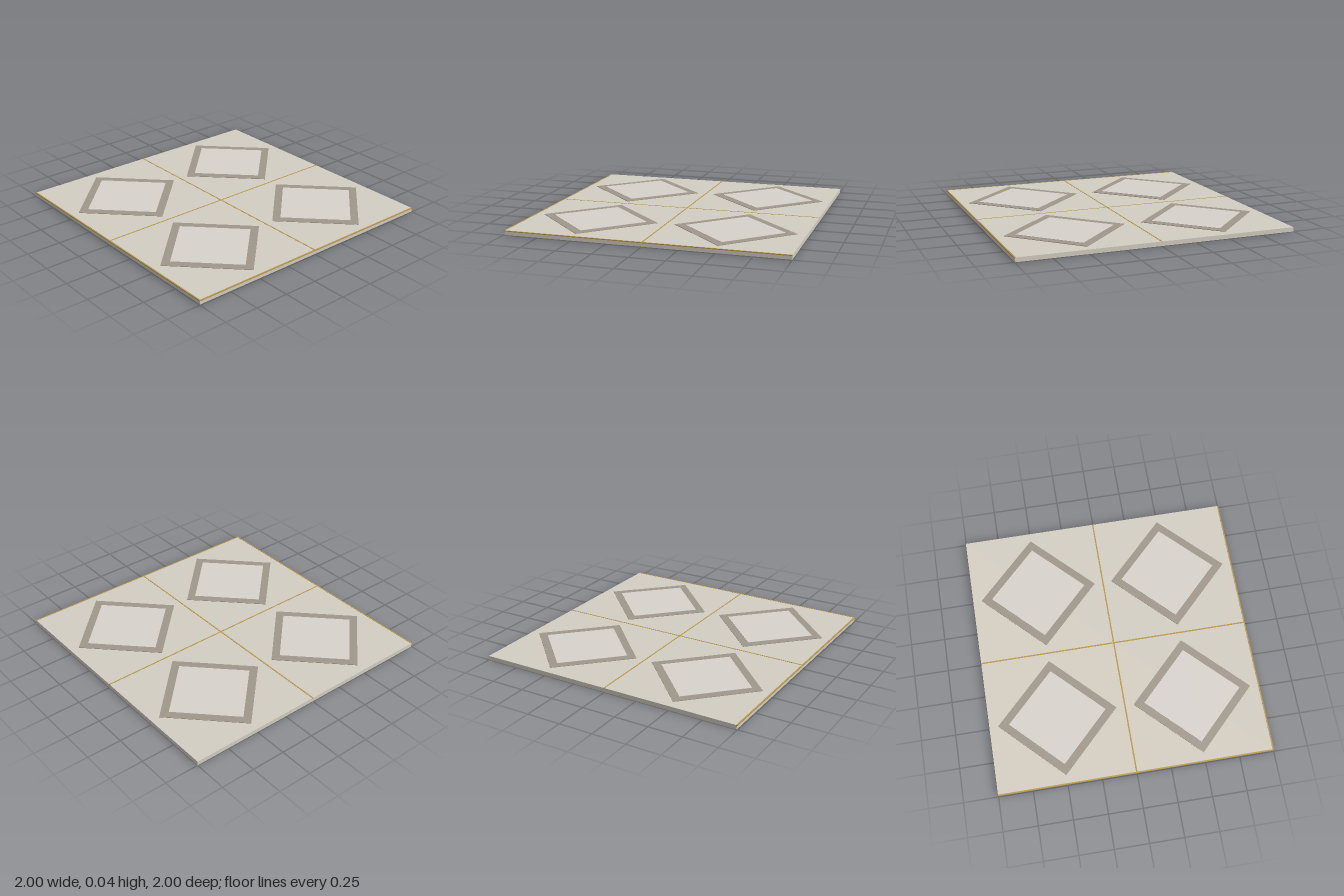
import * as THREE from 'three';

const SLAB_TOP = 0.031;
const OVERHANG = 0.005; // half a brass strip sticks out on the left and front edges

const stone = new THREE.MeshStandardMaterial({ color: 0xd4cec2 });
const border = new THREE.MeshStandardMaterial({ color: 0xa0978a });
const marble = new THREE.MeshStandardMaterial({ color: 0xd8d2cc });
const brass = new THREE.MeshStandardMaterial({ color: 0xb8964a });

function box(name, material, w, h, d, x, y, z) {
  const mesh = new THREE.Mesh(new THREE.BoxGeometry(w, h, d), material);
  mesh.name = name;
  mesh.position.set(x, y, z);
  return mesh;
}

function diamondPoints(r) {
  return [[r, 0], [0, r], [-r, 0], [0, -r]].map(([x, y]) => new THREE.Vector2(x, y));
}

// Flat diamond lying on the slab; an inner radius cuts a hole
function diamond(name, material, radius, hole, top) {
  const shape = new THREE.Shape(diamondPoints(radius));
  if (hole) shape.holes.push(new THREE.Path(diamondPoints(hole).reverse()));
  const geometry = new THREE.ExtrudeGeometry(shape, { depth: top - SLAB_TOP + 0.002, bevelEnabled: false });
  geometry.rotateX(-Math.PI / 2);
  const mesh = new THREE.Mesh(geometry, material);
  mesh.name = name;
  mesh.position.y = SLAB_TOP - 0.002;
  return mesh;
}

export function createModel() {
  const model = new THREE.Group();
  model.name = 'inlaidFloorPanel';

  // Slab, shifted slightly so the overhanging strips complete the square
  const size = 2 - OVERHANG;
  const cx = OVERHANG / 2;
  const cz = -OVERHANG / 2;
  model.add(box('slab', stone, size, SLAB_TOP, size, cx, SLAB_TOP / 2, cz));

  // Diamond inlay in each quarter: dark border around a pale centre
  for (const sx of [-1, 1]) {
    for (const sz of [-1, 1]) {
      const inlay = new THREE.Group();
      inlay.name = 'diamondInlay';
      inlay.add(diamond('inlayBorder', border, 0.435, 0.354, 0.034));
      inlay.add(diamond('inlayCentre', marble, 0.355, 0, 0.036));
      inlay.position.set(cx + sx * size / 4, 0, cz + sz * size / 4);
      model.add(inlay);
    }
  }

  // Brass strips along the middle joints and along the -x and +z edges
  const w = OVERHANG * 2;
  const h = 0.006;
  const y = SLAB_TOP + 0.001 - h / 2;
  for (const x of [cx, -1 + OVERHANG]) model.add(box('brassStripLengthwise', brass, w, h, size, x, y, cz));
  for (const z of [cz, 1 - OVERHANG]) model.add(box('brassStripCrosswise', brass, size, h, w, cx, y, z));

  return model;
}
